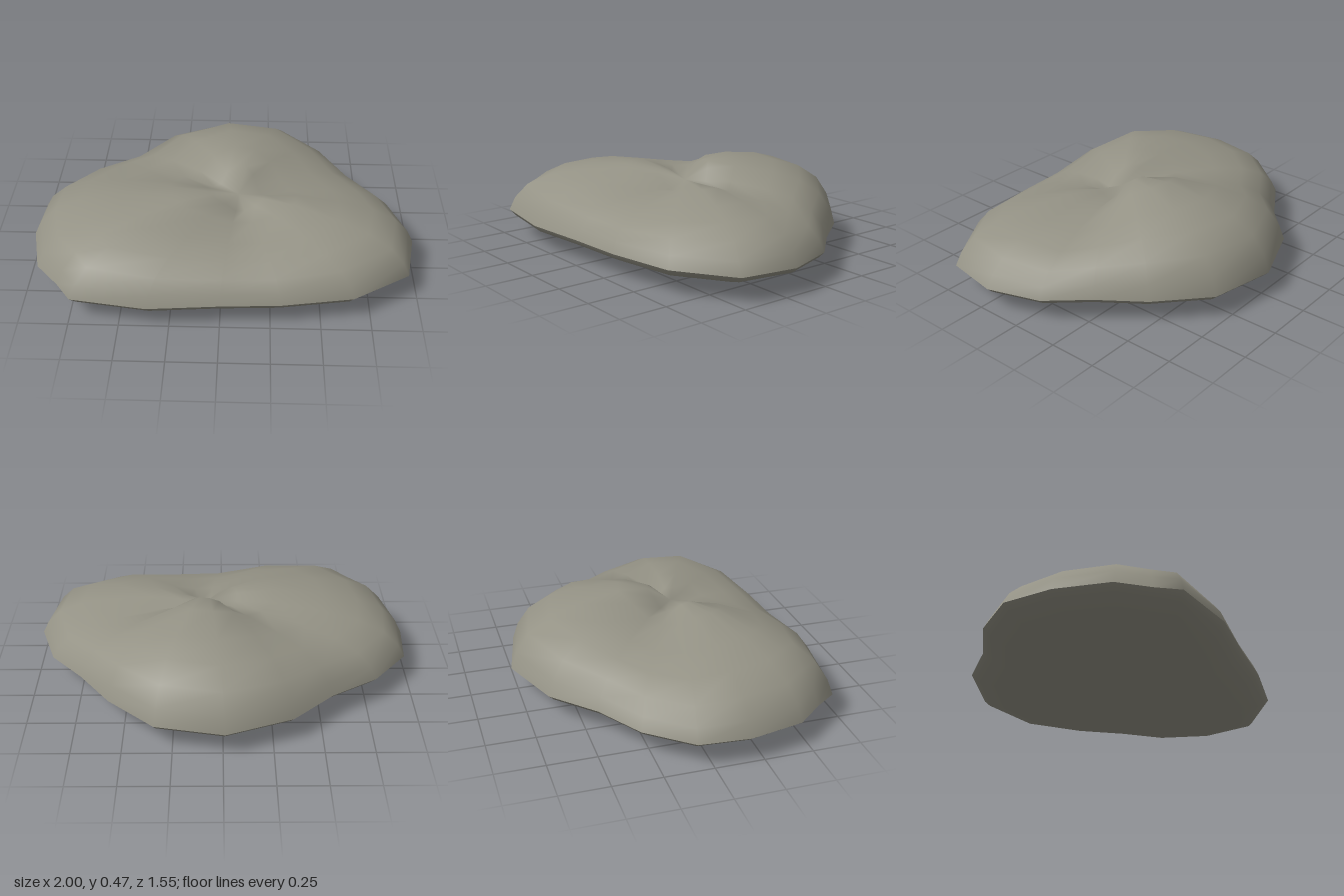
import * as THREE from 'three';

// Rim of the boulder, clockwise from the back: x, z, crown height of the lobe inside it
const RIM = [
  [-0.01, -0.78, 0.47], [0.34, -0.71, 0.47], [0.58, -0.49, 0.44], [0.74, -0.27, 0.375],
  [0.91, -0.08, 0.345], [1.0, 0.19, 0.38], [0.95, 0.48, 0.385], [0.66, 0.67, 0.36],
  [0.3, 0.73, 0.33], [0, 0.745, 0.33], [-0.36, 0.775, 0.38], [-0.74, 0.715, 0.41],
  [-0.82, 0.6, 0.42], [-0.94, 0.46, 0.425], [-1.0, 0.18, 0.42], [-0.98, -0.08, 0.39],
  [-0.8, -0.3, 0.375], [-0.56, -0.45, 0.38], [-0.35, -0.65, 0.44],
];
const RIM_Y = 0.13;

// Closed shell of shrinking rings ending in one pole; rings are [scale, height fraction]
function shell(rings, pole, heightAt, up) {
  const n = RIM.length, pos = [], index = [];
  const tri = (a, b, c) => (up ? index.push(a, b, c) : index.push(a, c, b));
  for (const [t, f] of rings) {
    for (const [x, z, crown] of RIM) {
      pos.push(pole[0] + (x - pole[0]) * t, heightAt(f, crown), pole[2] + (z - pole[2]) * t);
    }
  }
  pos.push(...pole);
  const last = rings.length - 1;
  for (let j = 0; j <= last; j++) {
    for (let i = 0; i < n; i++) {
      const k = (i + 1) % n, a = j * n + i, b = j * n + k;
      if (j === last) {
        tri(a, n * rings.length, b);
      } else {
        tri(a, a + n, b);
        tri(b, a + n, b + n);
      }
    }
  }
  const g = new THREE.BufferGeometry();
  g.setAttribute('position', new THREE.Float32BufferAttribute(pos, 3));
  g.setIndex(index);
  g.computeVertexNormals();
  return g;
}

export function createModel() {
  const group = new THREE.Group();
  group.name = 'boulder';
  const stone = new THREE.MeshStandardMaterial({ color: 0x949285 });
  stone.name = 'stone';

  // Lobed top with a shallow dimple in the middle
  const top = new THREE.Mesh(shell(
    [[1, 0], [0.965, 0.26], [0.89, 0.54], [0.76, 0.76], [0.58, 0.9], [0.33, 1], [0.15, 0.96]],
    [0.08, 0.365, 0.12],
    (f, crown) => RIM_Y + (crown - RIM_Y) * f, true), stone);
  top.name = 'upperStone';

  // Shallow rounded underside, meeting the top at a sharp rim
  const bottom = new THREE.Mesh(shell(
    [[1, 1], [0.965, 0.77], [0.86, 0.53], [0.66, 0.29], [0.35, 0.12]],
    [0.08, 0, 0.14],
    (f) => RIM_Y * f, false), stone);
  bottom.name = 'underside';

  group.add(top, bottom);
  return group;
}
